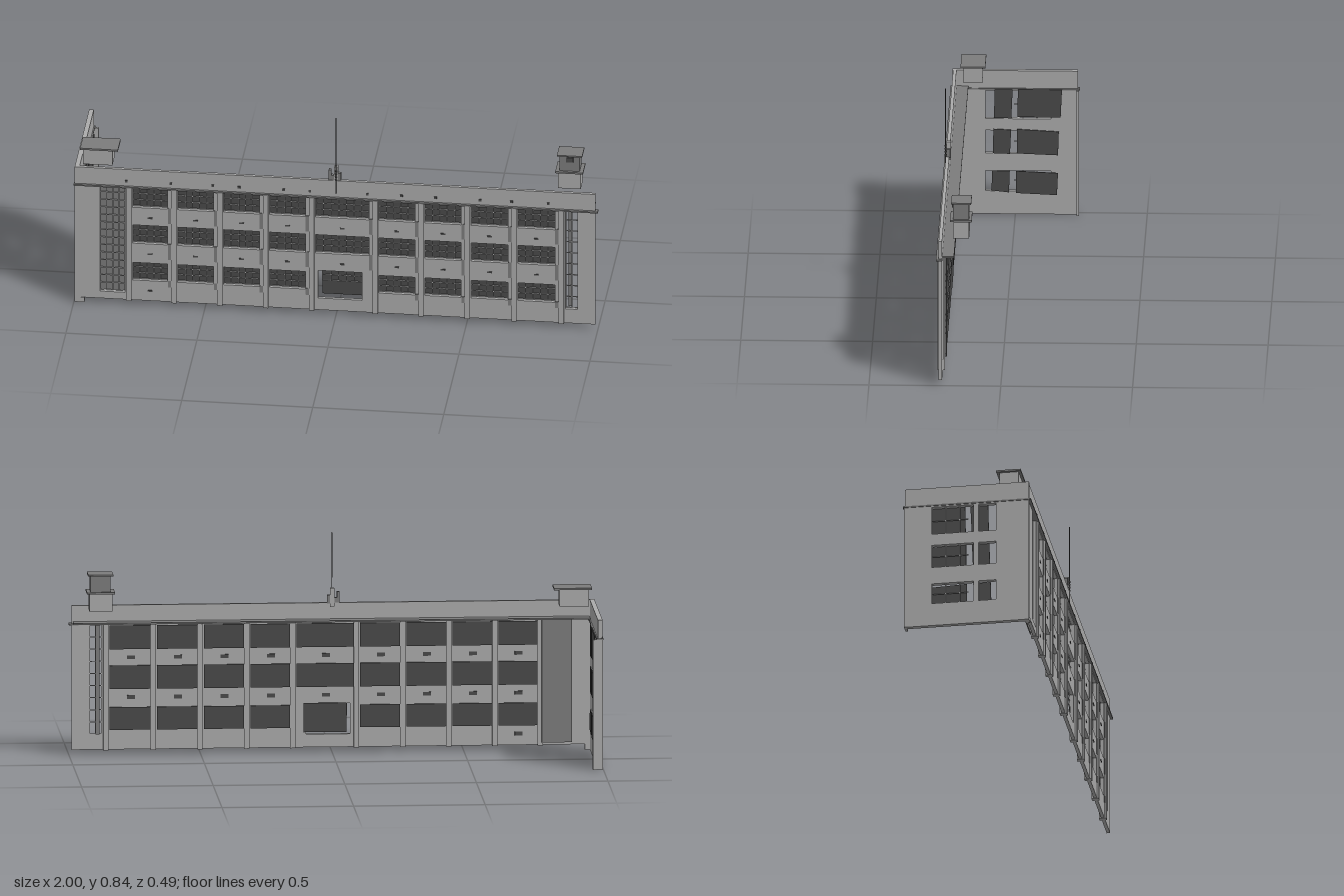
import * as THREE from 'three';

export function createModel() {
  const root = new THREE.Group();
  const mat = (name, color) => {
    const m = new THREE.MeshStandardMaterial({ color });
    m.name = name;
    return m;
  };
  const stone = mat('pale stone', 0xababab);
  const trim = mat('mid grey trim', 0x7c7c7c);
  const glass = mat('dark glass', 0x4a4a4a);

  // Box given by its minimum and maximum corners
  const box = (parent, name, m, x0, x1, y0, y1, z0, z1) => {
    const mesh = new THREE.Mesh(new THREE.BoxGeometry(x1 - x0, y1 - y0, z1 - z0), m);
    mesh.position.set((x0 + x1) / 2, (y0 + y1) / 2, (z0 + z1) / 2);
    mesh.name = name;
    parent.add(mesh);
    return mesh;
  };
  const group = (name) => {
    const g = new THREE.Group();
    g.name = name;
    root.add(g);
    return g;
  };
  const rect = (P, x0, x1, y0, y1) => {
    const p = new P();
    p.moveTo(x0, y0);
    p.lineTo(x1, y0);
    p.lineTo(x1, y1);
    p.lineTo(x0, y1);
    p.closePath();
    return p;
  };
  // Wall of rectangular outline with rectangular holes [x0, x1, y0, y1]
  const wall = (name, outline, holes, depth) => {
    const s = rect(THREE.Shape, ...outline);
    holes.forEach((h) => s.holes.push(rect(THREE.Path, ...h)));
    const mesh = new THREE.Mesh(new THREE.ExtrudeGeometry(s, { depth, bevelEnabled: false }), stone);
    mesh.name = name;
    root.add(mesh);
    return mesh;
  };
  // Glazing bars across a front opening
  const lattice = (parent, [x0, x1, y0, y1], cols, rows, z) => {
    const t = 0.0016;
    for (let i = 0; i <= cols; i++) {
      const x = x0 + ((x1 - x0) * i) / cols;
      box(parent, 'verticalBar', stone, x - t, x + t, y0, y1, z, z + 0.003);
    }
    for (let j = 0; j <= rows; j++) {
      const y = y0 + ((y1 - y0) * j) / rows;
      box(parent, 'horizontalBar', stone, x0, x1, y - t, y + t, z, z + 0.003);
    }
  };

  // Bays between pilasters, three storeys of windows
  const pilasterX = [-0.79, -0.618, -0.443, -0.268, -0.092, 0.15, 0.325, 0.502, 0.68, 0.86];
  const rows = [[0.105, 0.18], [0.262, 0.34], [0.415, 0.494]];
  const windows = [];
  for (let b = 0; b < 9; b++) {
    const x0 = pilasterX[b] + 0.014, x1 = pilasterX[b + 1] - 0.024;
    rows.forEach(([y0, y1], r) => {
      const entrance = b === 4 && r === 0;
      windows.push({ b, r, entrance, o: entrance ? [-0.068, 0.1, 0.07, 0.188] : [x0, x1, y0, y1] });
    });
  }
  const stair = [-0.9, -0.806, 0.05, 0.5];
  const slit = [0.876, 0.922, 0.08, 0.5];

  // Front wall
  wall('frontWall', [-0.995, 0.99, 0.02, 0.575],
    [...windows.map((w) => w.o), stair, slit], 0.013).position.z = 0.223;

  // Pilasters
  const pilasters = group('pilasters');
  pilasterX.forEach((x) => box(pilasters, 'pilaster', stone, x - 0.01, x + 0.01, 0.018, 0.5, 0.215, 0.243));

  // Windows with panes set behind, and the panels below them
  const glazing = group('frontWindows');
  windows.forEach(({ b, r, entrance, o }) => {
    const [x0, x1, y0, y1] = o;
    const left = entrance ? x0 + 0.014 : x0 - 0.004;
    const bottom = entrance ? y0 + 0.01 : y0 - 0.008;
    box(glazing, entrance ? 'entrancePane' : 'pane', glass, left, x1 + 0.01, bottom, y1 + 0.004, 0.209, 0.214);
    if (entrance) lattice(glazing, [left, x1, 0.14, y1], 5, 2, 0.219);
    else lattice(glazing, o, b === 4 ? 7 : 5, 3, 0.219);
    if (!entrance) {
      const low = r === 0 ? 0.082 : y0 - 0.062;
      box(glazing, 'sidePanel', trim, x1 + 0.001, x1 + 0.014, low, y0 + 0.004, 0.234, 0.238);
      const c = (x0 + x1) / 2;
      if (r > 0 || b === 0) {
        box(glazing, 'vent', glass, c - 0.009, c + 0.009, y0 - 0.046, y0 - 0.04, 0.235, 0.238);
        box(glazing, 'rearVent', glass, c - 0.015, c + 0.015, y0 - 0.048, y0 - 0.034, 0.22, 0.2232);
      }
    }
  });

  // Tall stair window and narrow end window
  const tall = group('tallWindows');
  box(tall, 'stairPanel', trim, -0.91, -0.796, 0.03, 0.505, 0.211, 0.215);
  lattice(tall, stair, 4, 14, 0.22);
  box(tall, 'endPanel', trim, 0.884, 0.9, 0.08, 0.5, 0.208, 0.212);
  lattice(tall, slit, 2, 9, 0.22);

  // Cornice, roof ledge and parapet details
  const roof = group('roofEdge');
  box(roof, 'cornice', trim, -1, 1, 0.499, 0.505, 0.222, 0.246);
  box(roof, 'roofLedge', trim, -0.978, 0.985, 0.507, 0.513, 0.178, 0.225);
  [-0.8, -0.63, -0.47, -0.37, -0.2, -0.1, 0.12, 0.25, 0.38, 0.55, 0.67, 0.81].forEach((x) =>
    box(roof, 'drainSpout', glass, x - 0.005, x + 0.005, 0.521, 0.53, 0.234, 0.239));

  // Side wall, drawn along z and turned to face sideways
  const sideRows = [[0.092, 0.174], [0.243, 0.335], [0.382, 0.494]];
  const sideHoles = [];
  sideRows.forEach(([y0, y1]) => sideHoles.push([-0.113, -0.045, y0, y1], [-0.025, 0.135, y0, y1]));
  const side = wall('sideWall', [-0.238, 0.238, 0, 0.575], sideHoles, 0.018);
  side.rotation.y = Math.PI / 2;
  side.position.x = -0.997;

  const sideParts = group('sideWallParts');
  box(sideParts, 'rearPilaster', stone, -0.998, -0.96, 0, 0.5, -0.241, -0.232);
  box(sideParts, 'frontPlinth', stone, -0.998, -0.96, 0, 0.02, 0.222, 0.238);
  box(sideParts, 'sideCornice', trim, -1, -0.974, 0.499, 0.505, -0.245, 0.24);
  // Slanted inner panes, as [z, y] corners
  [
    [[0.09, 0.097], [0.024, 0.089], [0.021, 0.175], [0.088, 0.176]],
    [[-0.003, 0.087], [-0.158, 0.08], [-0.162, 0.168], [-0.003, 0.175]],
    [[0.085, 0.246], [0.02, 0.244], [0.016, 0.34], [0.083, 0.343]],
    [[-0.006, 0.246], [-0.162, 0.24], [-0.165, 0.334], [-0.006, 0.343]],
    [[0.081, 0.387], [0.015, 0.387], [0.01, 0.505], [0.078, 0.505]],
    [[-0.008, 0.392], [-0.172, 0.392], [-0.177, 0.503], [-0.01, 0.503]],
  ].forEach((q) => {
    const s = new THREE.Shape(q.map(([z, y]) => new THREE.Vector2(-z, y)));
    const pane = new THREE.Mesh(new THREE.ExtrudeGeometry(s, { depth: 0.004, bevelEnabled: false }), glass);
    pane.name = 'sidePane';
    pane.rotation.y = Math.PI / 2;
    pane.position.x = -0.974;
    sideParts.add(pane);
  });
  // Middle mullions of the wide side openings
  sideRows.forEach(([y0, y1]) => {
    [-0.028, -0.082].forEach((z) =>
      box(sideParts, 'sideMullion', stone, -0.992, -0.988, y0, y1, z - 0.002, z + 0.002));
    const y = (y0 + y1) / 2;
    box(sideParts, 'sideTransom', stone, -0.992, -0.988, y - 0.0015, y + 0.0015, -0.135, 0.005);
  });

  // Chimneys
  const low = group('wideChimney');
  box(low, 'stack', stone, -0.97, -0.858, 0.567, 0.632, 0.122, 0.194);
  box(low, 'cap', trim, -0.98, -0.836, 0.632, 0.639, 0.11, 0.204);
  const high = group('tallChimney');
  box(high, 'stack', stone, 0.842, 0.928, 0.567, 0.635, 0.122, 0.184);
  box(high, 'middleCap', trim, 0.832, 0.938, 0.635, 0.642, 0.112, 0.194);
  box(high, 'upperStack', trim, 0.848, 0.924, 0.642, 0.704, 0.122, 0.184);
  box(high, 'flueOpening', glass, 0.872, 0.9, 0.68, 0.7, 0.184, 0.187);
  box(high, 'topCap', trim, 0.838, 0.934, 0.704, 0.71, 0.114, 0.19);

  // Flagpole on a stepped base
  const flag = group('flagpole');
  box(flag, 'baseCentre', stone, -0.008, 0.008, 0.56, 0.632, 0.217, 0.234);
  box(flag, 'baseLeft', trim, 0.008, 0.019, 0.572, 0.605, 0.219, 0.234);
  box(flag, 'baseRight', trim, -0.028, -0.018, 0.575, 0.618, 0.219, 0.234);
  box(flag, 'baseStep', trim, -0.018, -0.008, 0.575, 0.595, 0.219, 0.234);
  const rod = (name, r, y0, y1) => {
    const m = new THREE.Mesh(new THREE.CylinderGeometry(r, r, y1 - y0, 8), glass);
    m.name = name;
    m.position.set(0, (y0 + y1) / 2, 0.237);
    flag.add(m);
  };
  rod('lowerPole', 0.0015, 0.52, 0.67);
  rod('upperPole', 0.002, 0.67, 0.843);
  [0.575, 0.588, 0.6, 0.612].forEach((y) => rod('poleRing', 0.004, y, y + 0.005));

  return root;
}
